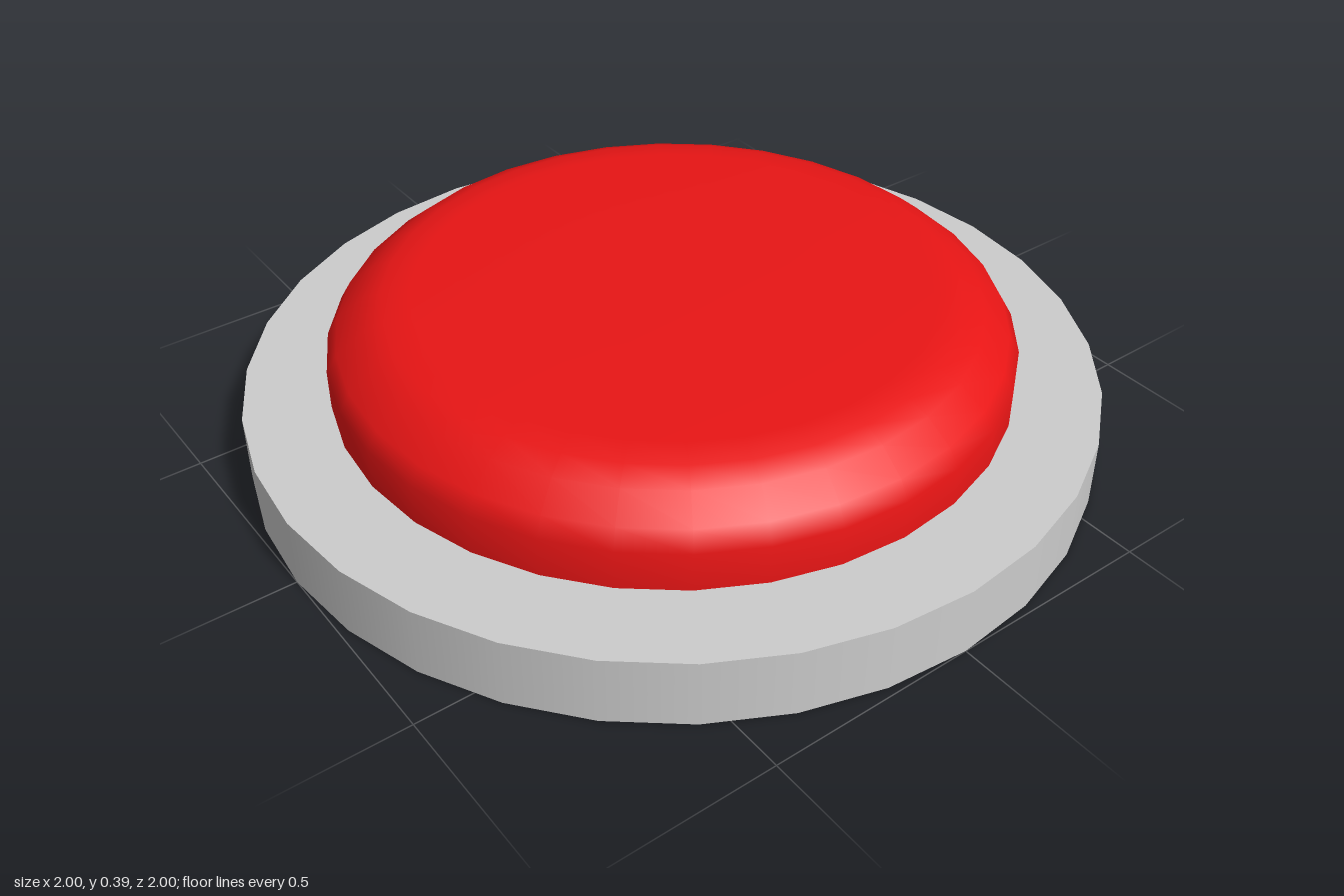
import * as THREE from 'three';

const SIDES = 32;

export function createModel() {
  const group = new THREE.Group();
  group.name = 'pushButton';

  // Flat round base plate
  const baseHeight = 0.165;
  const base = new THREE.Mesh(
    new THREE.CylinderGeometry(1, 1, baseHeight, SIDES),
    new THREE.MeshStandardMaterial({ color: 0xcccccc })
  );
  base.name = 'base';
  base.position.y = baseHeight / 2;
  group.add(base);

  // Domed cap: straight wall, rounded shoulder, nearly flat top
  const profile = [
    [0.8, baseHeight], [0.8, 0.26], [0.775, 0.303], [0.715, 0.352],
    [0.665, 0.374], [0.6, 0.382], [0.28, 0.388], [0, 0.388],
  ].map(([r, y]) => new THREE.Vector2(r, y));
  const cap = new THREE.Mesh(
    new THREE.LatheGeometry(profile, SIDES),
    new THREE.MeshStandardMaterial({ color: 0xe81515 })
  );
  cap.name = 'cap';
  group.add(cap);

  return group;
}
